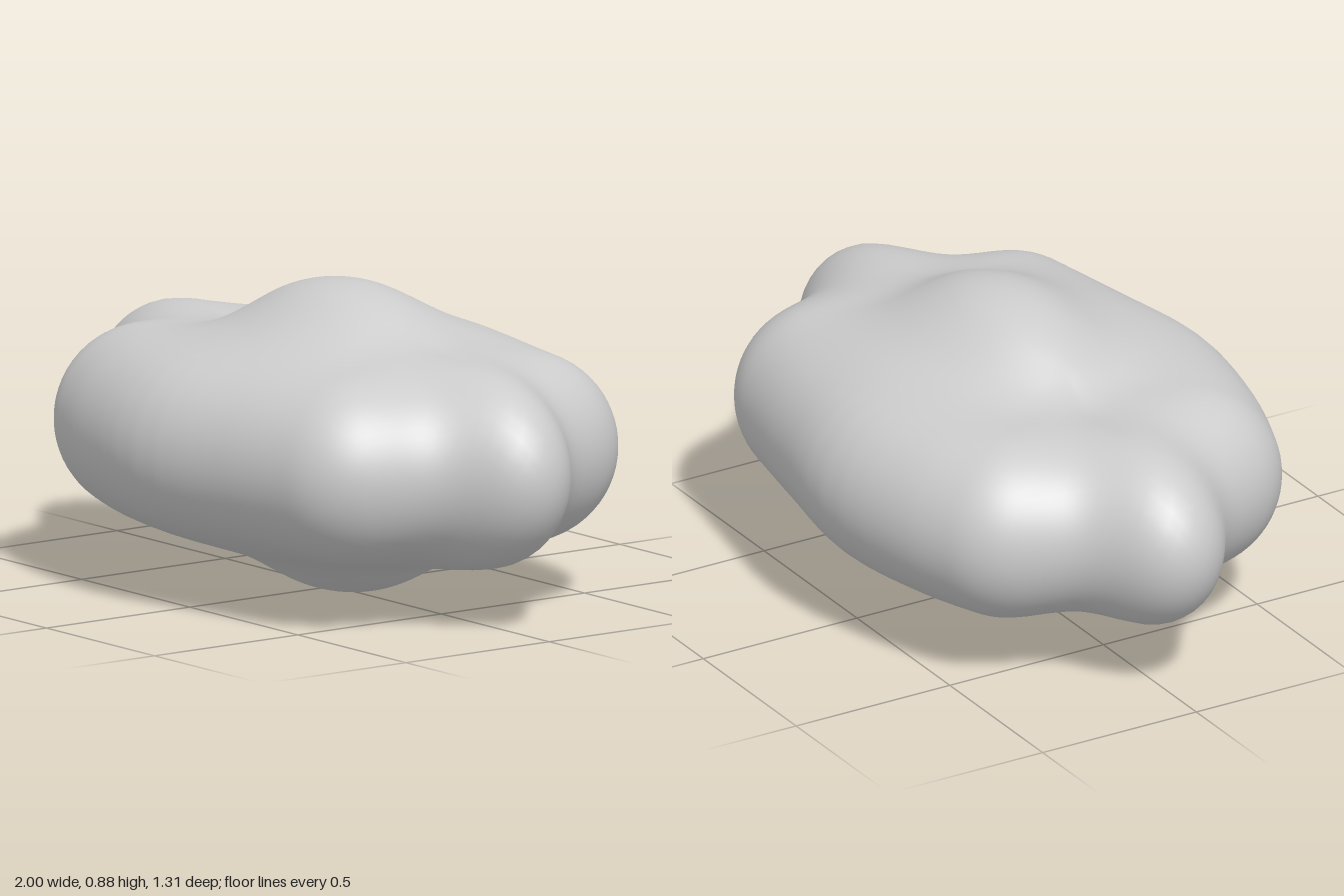
import * as THREE from 'three';
import { mergeVertices } from 'three/addons/utils/BufferGeometryUtils.js';

const MID_HEIGHT = 0.44;
const BLEND = 0.2;

// Puffy lobes, relative to the middle of the body: [centre, radii]
const ELLIPSOIDS = [
  [[0.05, 0, 0], [0.5, 0.44, 0.36]],     // dome above and below
  [[-0.69, 0, 0], [0.31, 0.265, 0.21]],  // right end lobe
  [[0.67, 0, 0], [0.33, 0.28, 0.21]],    // left end lobe
];

// Bent roll along the front, mirrored to the back: x, z of its spine
const ROLL_RADIUS = 0.27;
const SPINE = new THREE.SplineCurve(
  [[-0.46, 0.29], [-0.3, 0.345], [-0.06, 0.385], [0.2, 0.345], [0.48, 0.295]]
    .map(([x, z]) => new THREE.Vector2(x, z))
).getPoints(16);

function ellipsoid(p, c, r) {
  const q = [0, 1, 2].map((i) => (p[i] - c[i]) / r[i]);
  const k0 = Math.hypot(...q);
  const k1 = Math.hypot(q[0] / r[0], q[1] / r[1], q[2] / r[2]);
  return k1 < 1e-6 ? -Math.min(...r) : (k0 * (k0 - 1)) / k1;
}

function roll([x, y, z]) {
  let best = Infinity;
  for (let i = 0; i < SPINE.length - 1; i++) {
    const a = SPINE[i], b = SPINE[i + 1];
    const dx = b.x - a.x, dz = b.y - a.y;
    const px = x - a.x, pz = Math.abs(z) - a.y;
    const t = THREE.MathUtils.clamp((px * dx + pz * dz) / (dx * dx + dz * dz), 0, 1);
    best = Math.min(best, Math.hypot(px - t * dx, y, pz - t * dz));
  }
  return best - ROLL_RADIUS;
}

function smoothMin(a, b) {
  const h = Math.max(BLEND - Math.abs(a - b), 0) / BLEND;
  return Math.min(a, b) - (h * h * BLEND) / 4;
}

const field = (p) =>
  ELLIPSOIDS.reduce((d, [c, r]) => smoothMin(d, ellipsoid(p, c, r)), roll(p));

// Outermost distance from the centre to the blended skin along a direction
function skinRadius(v) {
  const at = (r) => field([v.x * r, v.y * r, v.z * r]);
  let lo = 1.2;
  while (lo > 0.1 && at(lo) > 0) lo -= 0.02;
  let hi = lo + 0.02;
  for (let i = 0; i < 14; i++) {
    const mid = (lo + hi) / 2;
    if (at(mid) > 0) hi = mid;
    else lo = mid;
  }
  return lo;
}

export function createModel() {
  const group = new THREE.Group();
  group.name = 'puffyCloud';

  // Sphere whose vertices are drawn out to the blended lobes
  let geometry = new THREE.IcosahedronGeometry(1, 30);
  geometry.deleteAttribute('uv');
  geometry.deleteAttribute('normal');
  geometry = mergeVertices(geometry, 1e-4);
  const pos = geometry.attributes.position;
  const v = new THREE.Vector3();
  for (let i = 0; i < pos.count; i++) {
    v.fromBufferAttribute(pos, i).normalize();
    v.multiplyScalar(skinRadius(v));
    pos.setXYZ(i, v.x, v.y + MID_HEIGHT, v.z);
  }
  geometry.computeVertexNormals();

  const body = new THREE.Mesh(geometry, new THREE.MeshStandardMaterial({ color: 0xcccccc }));
  body.name = 'cloudBody';
  group.add(body);
  return group;
}
